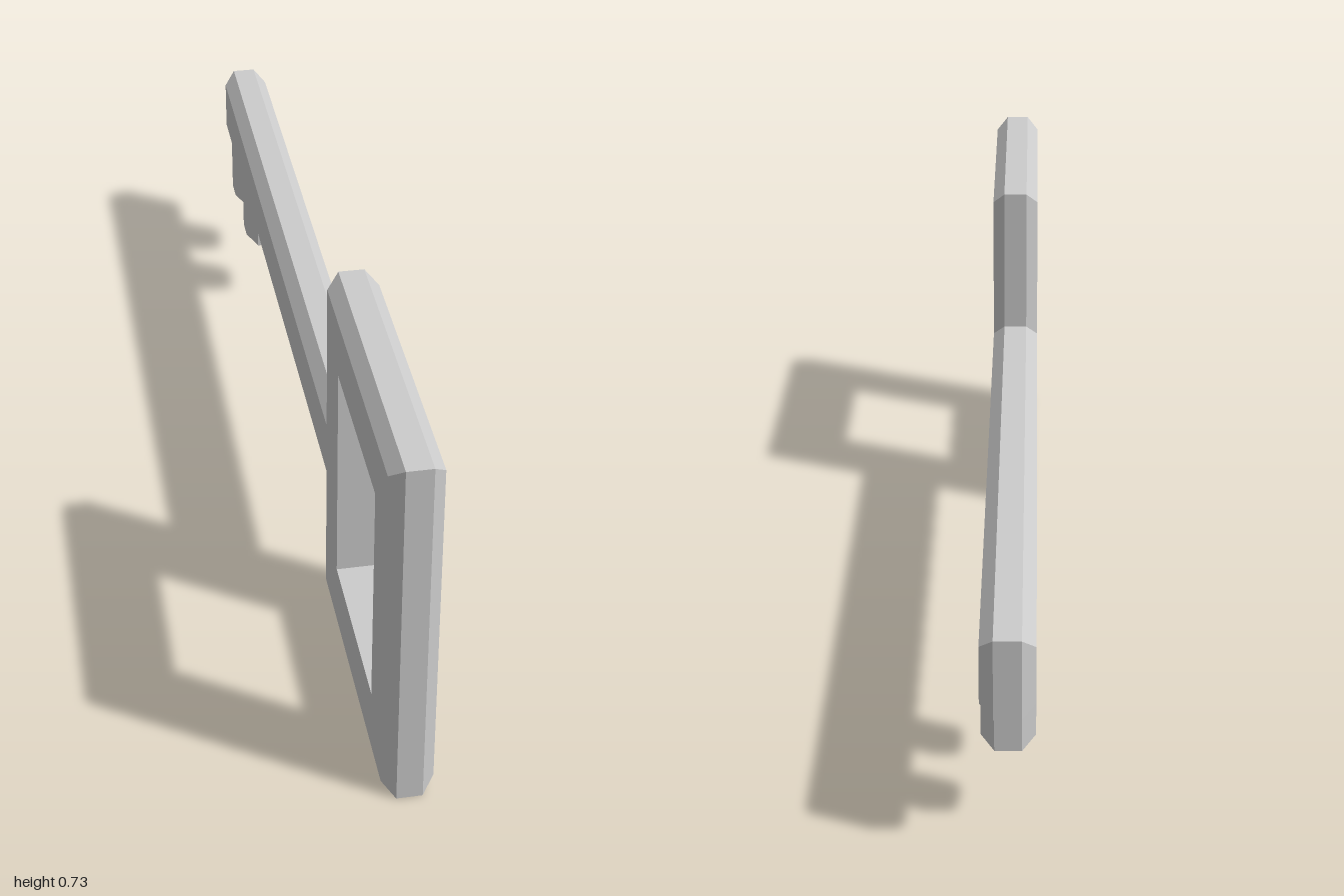
import * as THREE from 'three';
import { mergeGeometries } from 'three/addons/utils/BufferGeometryUtils.js';

const HALF = 0.048; // half thickness at the flat faces
const RIM = 0.024;  // half thickness at the outer rim

// Silhouette, counter-clockwise: u runs toward the back, v is up.
// The third number is the bevel width of the edge that starts at the point.
const outline = [
  [-1, 0, 0.024], [-0.4, 0, 0.02],                                 // bow, lower half
  [-0.4, 0.277, 0.018],                                            // shaft underside
  [0.63, 0.277, 0.022], [0.63, 0.157, 0.02], [0.72, 0.157, 0.022], // first tooth
  [0.72, 0.277, 0.018],
  [0.815, 0.277, 0.022], [0.815, 0.157, 0.02], [0.905, 0.157, 0.022], // second tooth
  [0.905, 0.277, 0.018],
  [1, 0.277, 0.024], [1, 0.427, 0.024],                            // tip and shaft top
  [-0.4, 0.427, 0.02], [-0.4, 0.733, 0.024], [-1, 0.733, 0.024],   // bow, upper half
];

// Window in the bow, clockwise so that its walls face inward
const hole = [[-0.88, 0.145], [-0.88, 0.598], [-0.535, 0.598], [-0.535, 0.145]];

// Every corner is square, so its inset is the sum of its two edges' offsets
function insetOutline(points) {
  const n = points.length;
  const offset = (i) => {
    const a = points[i], b = points[(i + 1) % n];
    return [-Math.sign(b[1] - a[1]) * a[2], Math.sign(b[0] - a[0]) * a[2]];
  };
  return points.map((p, i) => {
    const before = offset((i + n - 1) % n), after = offset(i);
    return [p[0] + before[0] + after[0], p[1] + before[1] + after[1]];
  });
}

// Quads joining closed rings, each given as [points, depth], from back to front
function wall(rings) {
  const pos = [];
  for (let r = 0; r < rings.length - 1; r++) {
    const [lo, w0] = rings[r], [hi, w1] = rings[r + 1];
    lo.forEach((p, i) => {
      const j = (i + 1) % lo.length;
      const a = [p[0], p[1], w0], b = [lo[j][0], lo[j][1], w0];
      const c = [hi[j][0], hi[j][1], w1], d = [hi[i][0], hi[i][1], w1];
      pos.push(...a, ...b, ...c, ...a, ...c, ...d);
    });
  }
  const g = new THREE.BufferGeometry();
  g.setAttribute('position', new THREE.Float32BufferAttribute(pos, 3));
  return g;
}

export function createModel() {
  const group = new THREE.Group();
  group.name = 'key';
  const material = new THREE.MeshStandardMaterial({ color: 0xcccccc, flatShading: true });
  const add = (name, geometry) => {
    geometry.rotateY(Math.PI / 2); // u becomes -z, depth becomes x
    geometry.computeVertexNormals();
    const mesh = new THREE.Mesh(geometry, material);
    mesh.name = name;
    group.add(mesh);
  };
  const inner = insetOutline(outline);

  // Flat side faces with the window cut out
  const vectors = (pts) => pts.map(([u, v]) => new THREE.Vector2(u, v));
  const shape = new THREE.Shape(vectors(inner));
  shape.holes.push(new THREE.Path(vectors(hole)));
  const near = new THREE.ShapeGeometry(shape).translate(0, 0, HALF);
  const far = near.clone().translate(0, 0, -2 * HALF);
  far.index.array.reverse();
  add('sideFaces', mergeGeometries([near, far]));

  // Bevels and rim around the silhouette
  add('bevelledRim', wall([[inner, -HALF], [outline, -RIM], [outline, RIM], [inner, HALF]]));

  // Straight walls of the bow window
  add('bowWindow', wall([[hole, -HALF], [hole, HALF]]));

  return group;
}
